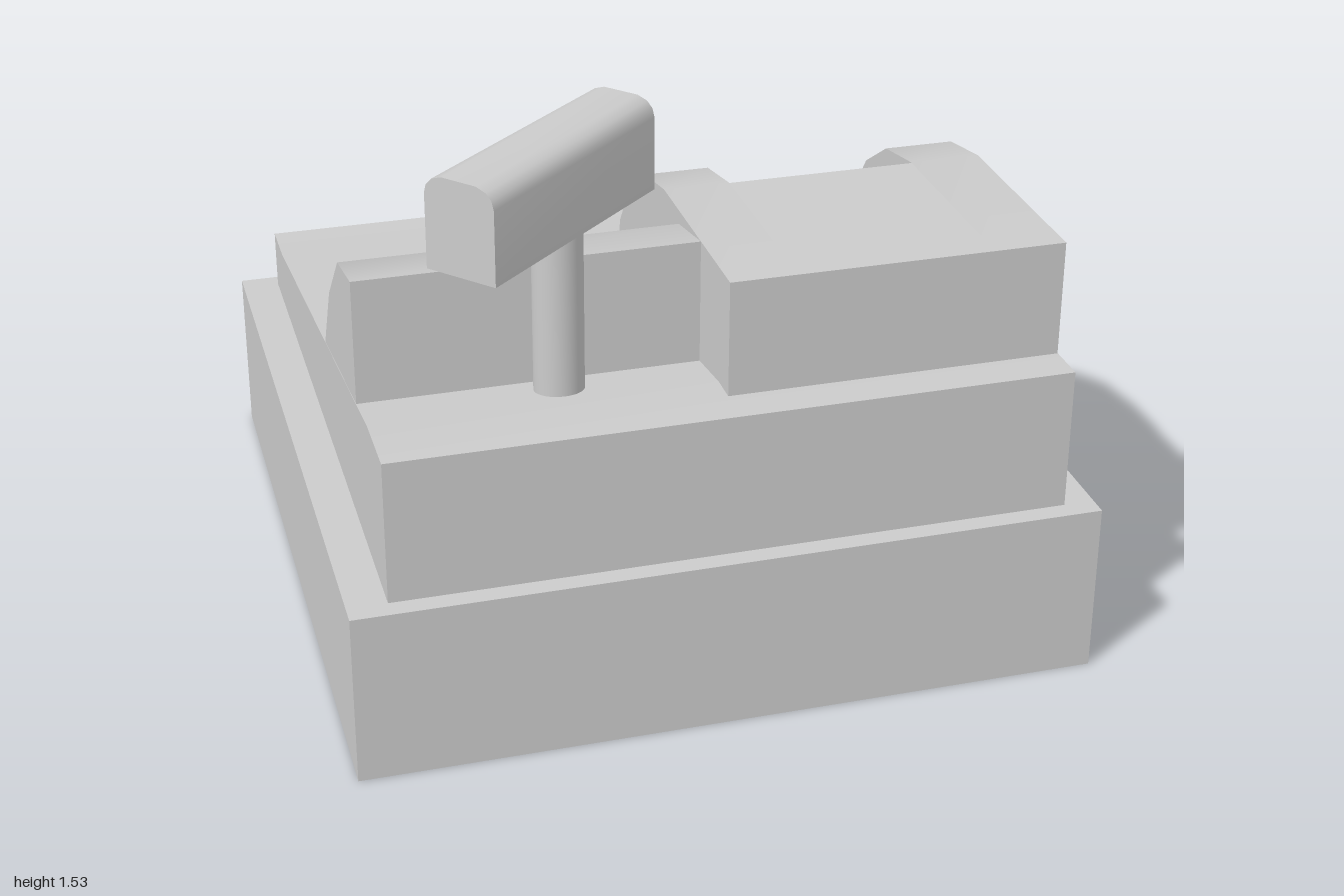
import * as THREE from 'three';
import { toCreasedNormals } from 'three/addons/utils/BufferGeometryUtils.js';

const grey = new THREE.MeshStandardMaterial({ color: 0xcccccc });

function part(name, geometry) {
  const mesh = new THREE.Mesh(geometry, grey);
  mesh.name = name;
  return mesh;
}

function box(name, x0, x1, y0, y1, z0, z1) {
  const g = new THREE.BoxGeometry(x1 - x0, y1 - y0, z1 - z0);
  g.translate((x0 + x1) / 2, (y0 + y1) / 2, (z0 + z1) / 2);
  return part(name, g);
}

// Side profile of [z, y] points, swept across from x0 to x1
function sweep(name, profile, x0, x1) {
  const shape = new THREE.Shape(profile.map(([z, y]) => new THREE.Vector2(z, y)));
  const g = new THREE.ExtrudeGeometry(shape, { depth: x1 - x0, bevelEnabled: false });
  g.rotateY(-Math.PI / 2).translate(x1, 0, 0);
  return part(name, toCreasedNormals(g, 0.6));
}

function rectangle(Type, x0, x1, y0, y1) {
  return new Type([[x0, y0], [x1, y0], [x1, y1], [x0, y1]].map(([x, y]) => new THREE.Vector2(x, y)));
}

export function createModel() {
  const model = new THREE.Group();
  model.name = 'cashRegister';
  const top = 0.472, back = -0.983;

  // Base with a framed drawer opening
  model.add(box('base', -0.986, 0.98, 0, top, back + 0.03, 0.983));
  const frame = rectangle(THREE.Shape, -0.986, 0.98, 0, top);
  frame.holes.push(rectangle(THREE.Path, -0.92, 0.92, 0.055, 0.4));
  const frameGeometry = new THREE.ExtrudeGeometry(frame, { depth: 0.03, bevelEnabled: false });
  model.add(part('drawerFrame', frameGeometry.translate(0, 0, back)));
  model.add(box('drawerFront', -0.892, 0.892, 0.085, 0.37, back, back + 0.03));

  // Round drawer lock with a stepped rim
  const lock = [[0, 0.014], [0.062, 0.014], [0.066, 0.009], [0.074, 0.009], [0.085, 0.003], [0.085, -0.01]]
    .reverse().map(([r, y]) => new THREE.Vector2(r, y));
  const lockGeometry = new THREE.LatheGeometry(lock, 32);
  lockGeometry.rotateX(-Math.PI / 2).translate(0.027, 0.22, back);
  model.add(part('drawerLock', toCreasedNormals(lockGeometry, 0.6)));

  // Sloping body
  model.add(sweep('body', [
    [0.93, top], [0.93, 0.86], [0.74, 0.86], [-0.78, 0.64], [-0.934, 0.64], [-0.934, top],
  ], -0.882, 0.898));

  // Rounded housing, its middle slice cut away for the window
  const foot = [[-0.256, 0.7], [0.82, 0.8], [0.82, 1.173]];
  const curve = [[0.23, 1.173], [0.04, 1.137], [-0.11, 1.04], [-0.22, 0.89], [-0.256, 0.715]];
  const recess = [[0.235, 1.173], [0.235, 0.975], [0.13, 0.98], [0.04, 0.973], [-0.03, 0.955],
    [-0.11, 0.92], [-0.23, 0.843], [-0.256, 0.715]];
  const housing = new THREE.Group();
  housing.name = 'housing';
  housing.add(sweep('housingRight', [...foot, ...curve], 0.012, 0.19));
  housing.add(sweep('housingWindow', [...foot, ...recess], 0.19, 0.705));
  housing.add(sweep('housingLeft', [...foot, ...curve], 0.705, 0.897));
  model.add(housing);

  // Sloped key panel beside the housing
  model.add(sweep('keyPanel', [
    [0.061, 0.7], [0.571, 0.8], [0.571, 1.173], [0.371, 1.135], [0.19, 0.965], [0.061, 0.757],
  ], -0.881, 0.012));

  // Pole display turned to one side
  const pole = part('displayPole', new THREE.CylinderGeometry(0.065, 0.065, 0.46, 32));
  pole.position.set(-0.377, 1.07, 0.64);
  model.add(pole);
  const display = sweep('poleDisplay', [
    [-0.1, 0], [0.1, 0], [0.1, 0.195], [0.094, 0.218], [0.078, 0.235], [0.05, 0.245],
    [-0.05, 0.245], [-0.078, 0.235], [-0.094, 0.218], [-0.1, 0.195],
  ], -0.342, 0.342);
  display.position.set(-0.407, 1.29, 0.635);
  display.rotation.y = 0.73;
  model.add(display);

  // The whole machine stands very slightly turned
  model.rotation.y = -0.0127;
  return model;
}
